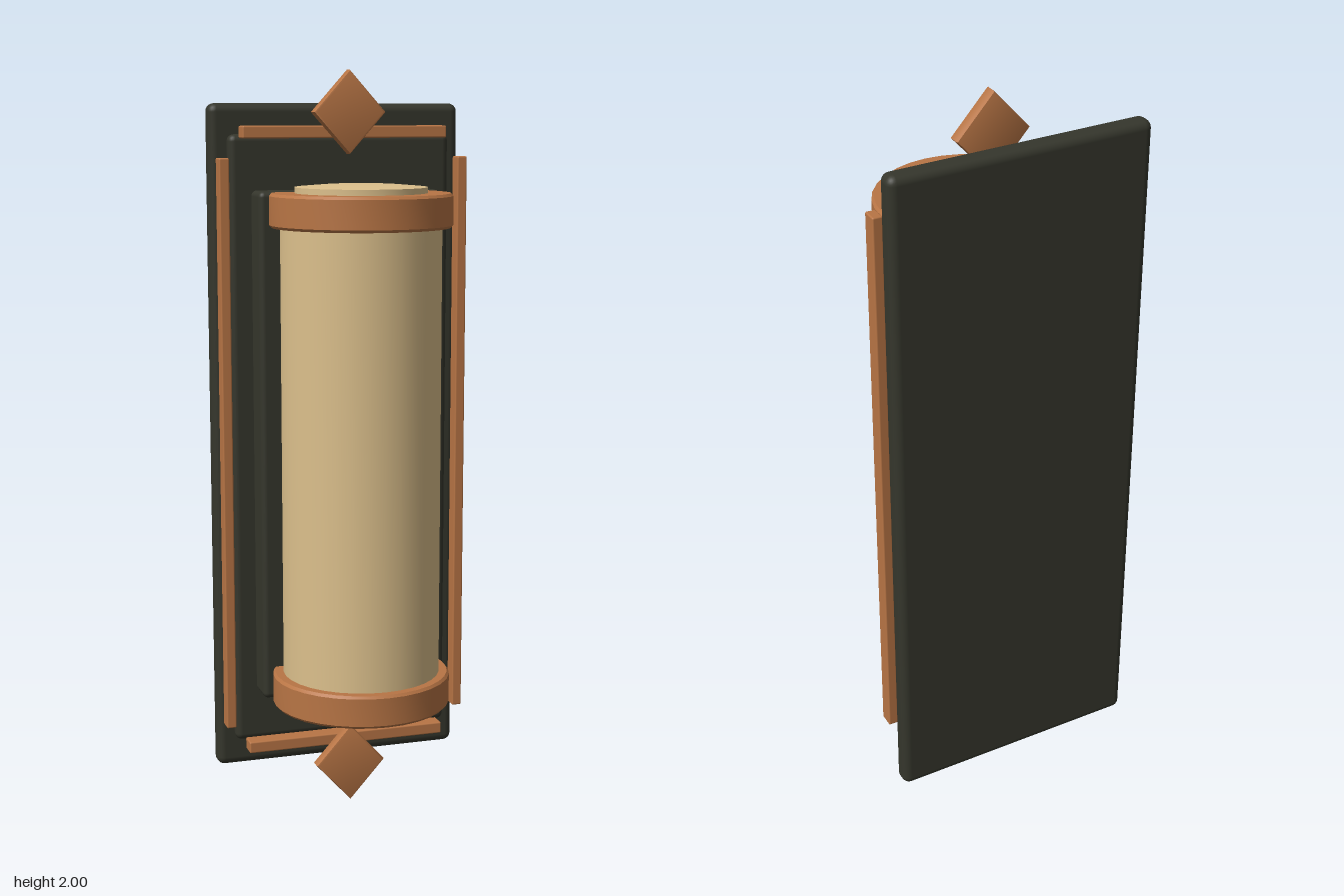
import * as THREE from 'three';
import { RoundedBoxGeometry } from 'three/addons/geometries/RoundedBoxGeometry.js';
import { toCreasedNormals } from 'three/addons/utils/BufferGeometryUtils.js';

const mat = (name, color) => {
  const m = new THREE.MeshStandardMaterial({ color });
  m.name = name;
  return m;
};

export function createModel() {
  const group = new THREE.Group();
  const bronze = mat('dark bronze', 0x35362c);
  const copper = mat('copper', 0xb87545);
  const glass = mat('cream glass', 0xdcc08c);

  const add = (name, geometry, material, x = 0, y = 0, z = 0) => {
    const mesh = new THREE.Mesh(geometry, material);
    mesh.name = name;
    mesh.position.set(x, y, z);
    group.add(mesh);
    return mesh;
  };
  // Rounded slab given by half width, y range and z range
  const slab = (name, material, halfW, y0, y1, z0, z1, r, x = 0) =>
    add(name, new RoundedBoxGeometry(halfW * 2, y1 - y0, z1 - z0, 3, r),
      material, x, (y0 + y1) / 2, (z0 + z1) / 2);
  // Turned part around the lamp axis
  const axisZ = 0.02;
  const turned = (name, material, profile) =>
    add(name, toCreasedNormals(new THREE.LatheGeometry(
      profile.map(([r, y]) => new THREE.Vector2(r, y)), 32), 0.6), material, 0, 0, axisZ);

  // Stepped wall plates
  slab('backPlate', bronze, 0.348, 0.09, 1.915, -0.26, -0.203, 0.022);
  slab('middlePlate', bronze, 0.305, 0.175, 1.835, -0.2, -0.158, 0.018);
  slab('lampMount', bronze, 0.248, 0.32, 1.69, -0.165, -0.068, 0.015);

  // Glass tube
  turned('glassTube', glass, [[0.21, 0.34], [0.21, 1.67]]);

  // Collars and end lenses, mirrored about mid height
  const mid = 1.005;
  const collar = [[0, 1.6], [0.232, 1.6], [0.238, 1.607], [0.238, 1.681], [0.232, 1.688], [0, 1.688]];
  const lens = [[0.172, 1.68], [0.172, 1.703], [0.1, 1.709], [0, 1.711]];
  const flip = (p) => p.map(([r, y]) => [r, 2 * mid - y]).reverse();
  turned('topCollar', copper, collar);
  turned('bottomCollar', copper, flip(collar));
  turned('topLens', glass, lens);
  turned('bottomLens', glass, flip(lens));

  // Trim rods framing the plates
  for (const s of [-1, 1]) {
    slab(s > 0 ? 'leftTrim' : 'rightTrim', copper, 0.0135, 0.23, 1.775, -0.156, -0.114, 0.004, s * 0.3285);
  }
  slab('topTrim', copper, 0.28, 1.825, 1.857, -0.156, -0.108, 0.004);
  slab('bottomTrim', copper, 0.28, 0.153, 0.185, -0.156, -0.108, 0.004);

  // Diamond finials with a softened edge
  const b = 0.006;
  const w = 0.09, h = 0.1;
  const diamond = new THREE.Shape([
    new THREE.Vector2(0, -h), new THREE.Vector2(w, 0),
    new THREE.Vector2(0, h), new THREE.Vector2(-w, 0),
  ]);
  const diamondGeo = toCreasedNormals(new THREE.ExtrudeGeometry(diamond, {
    depth: 0.037 - 2 * b, bevelEnabled: true, bevelThickness: b, bevelSize: b, bevelSegments: 2,
  }), 0.7);
  add('topDiamond', diamondGeo, copper, 0, 1.892, -0.11 + b);
  add('bottomDiamond', diamondGeo, copper, 0, 0.108, -0.11 + b);

  return group;
}
